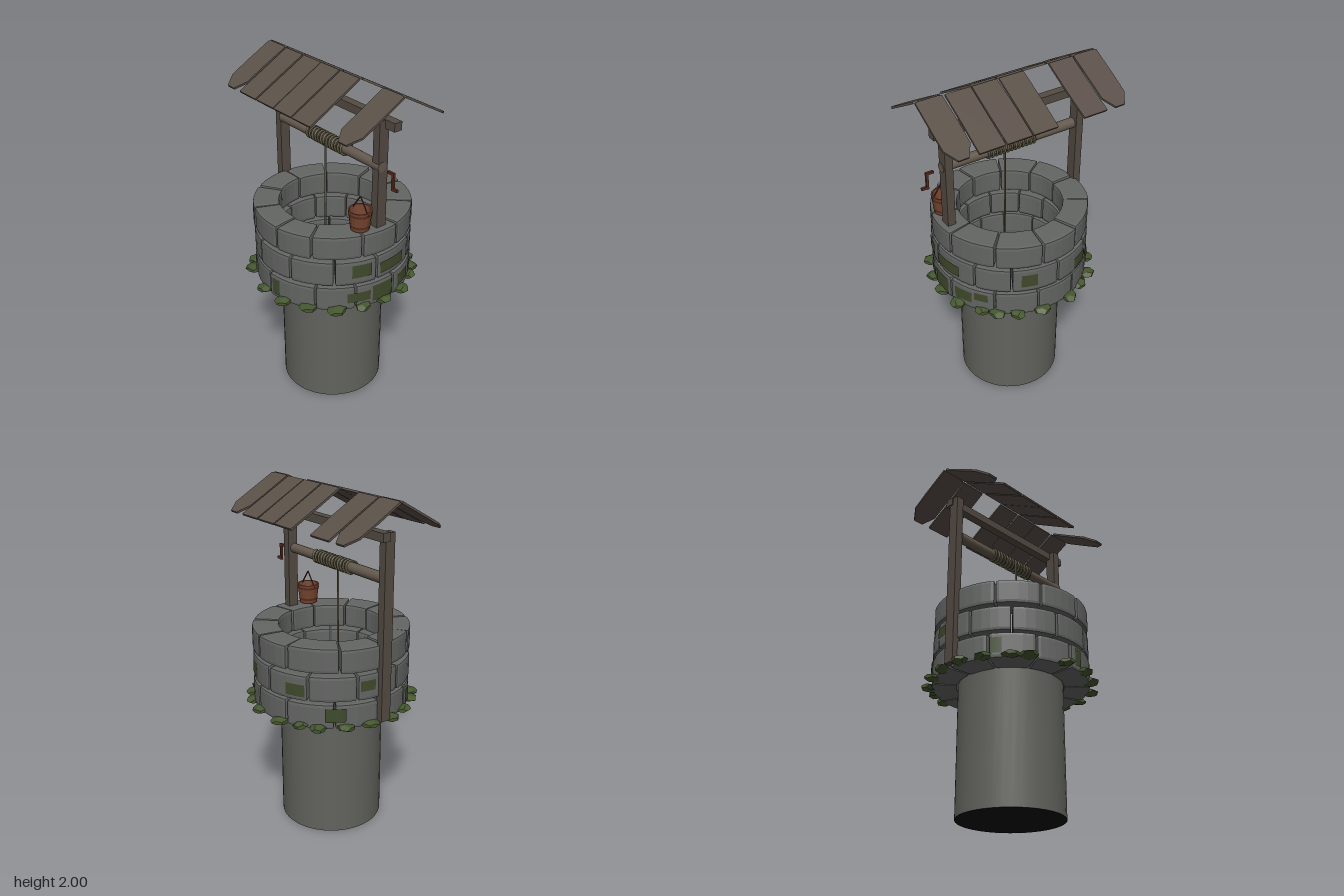
import * as THREE from 'three';

const mat = (color, extra = {}) => new THREE.MeshStandardMaterial({ color, flatShading: true, roughness: 1, ...extra });
const smooth = { flatShading: false };
const both = { side: THREE.DoubleSide };
const M = {
  stone: mat(0x646664), shaft: mat(0x62635d, { ...smooth, ...both }), dark: mat(0x080808, both),
  moss: mat(0x46572f), patch: mat(0x3f4a2b, both), wood: mat(0x544b43), roof: mat(0x5a5048),
  axle: mat(0x64594d, smooth), rope: mat(0x5d5840, smooth), rust: mat(0x5a2c20), bucket: mat(0x75452f, both),
};

let seed = 7;
const rnd = () => (seed = (seed * 16807) % 2147483647) / 2147483647;
const vary = (s) => (rnd() - 0.5) * 2 * s;

function add(parent, name, geometry, material, x = 0, y = 0, z = 0) {
  const mesh = new THREE.Mesh(geometry, material);
  mesh.name = name;
  mesh.position.set(x, y, z);
  parent.add(mesh);
  return mesh;
}

function group(parent, name) {
  const g = new THREE.Group();
  g.name = name;
  parent.add(g);
  return g;
}

// Chamfered block bent round the well; a0, a1 are angles measured from +z towards +x
function stoneGeometry(a0, a1, r0, r1, y0, y1) {
  const geo = new THREE.BoxGeometry(2, 2, 2, 6, 3, 3);
  const p = geo.attributes.position;
  const half = [(a1 - a0) * 0.19, (y1 - y0) / 2, (r1 - r0) / 2];
  const bevel = 0.017;
  const v = new THREE.Vector3(), core = new THREE.Vector3();
  for (let i = 0; i < p.count; i++) {
    const t = [p.getX(i), p.getY(i), p.getZ(i)];
    const steps = [2 / 3, 1 / 3, 1 / 3];
    t.forEach((u, k) => {
      const inner = half[k] - bevel;
      const c = THREE.MathUtils.clamp(u / steps[k], -1, 1) * inner;
      core.setComponent(k, c);
      v.setComponent(k, Math.abs(u) > 0.99 ? Math.sign(u) : 0);
    });
    const n = v.length();
    v.multiplyScalar(bevel / (n > 1 ? Math.sqrt(n) : 1)).add(core);
    const a = (a0 + a1) / 2 + v.x / 0.38;
    const r = (r0 + r1) / 2 + v.z;
    p.setXYZ(i, Math.sin(a) * r, (y0 + y1) / 2 + v.y, Math.cos(a) * r);
  }
  geo.computeVertexNormals();
  return geo;
}

function buildWall(model) {
  const wall = group(model, 'stoneWall');
  const count = 11, step = (Math.PI * 2) / count;
  [[0.755, 0.9, 0.06], [0.915, 1.062, -0.22], [1.08, 1.22, 0.1]].forEach(([y0, y1, offset], row) => {
    const cuts = Array.from({ length: count }, (_, i) => offset + i * step + vary(0.06));
    cuts.push(cuts[0] + Math.PI * 2);
    for (let i = 0; i < count; i++) {
      const geo = stoneGeometry(cuts[i] + 0.008, cuts[i + 1] - 0.008, 0.303 + vary(0.005), 0.452 + vary(0.004), y0, y1 + vary(0.003));
      add(wall, `stoneRow${row + 1}`, geo, M.stone);
    }
  });
  // Moss patches: angle, width, bottom, height
  const patches = [
    [-0.98, 0.14, 0.78, 0.09], [0.13, 0.12, 0.78, 0.1], [1.22, 0.3, 0.8, 0.06], [1.55, 0.3, 0.78, 0.1],
    [1.95, 0.25, 0.8, 0.07], [1.25, 0.25, 0.96, 0.08], [1.7, 0.4, 0.95, 0.07], [2.2, 0.18, 0.83, 0.05],
    [2.8, 0.2, 0.95, 0.08], [3.6, 0.25, 0.94, 0.07], [4.1, 0.25, 0.8, 0.08], [4.5, 0.2, 0.97, 0.06],
  ];
  for (const [a, w, y, h] of patches) {
    add(wall, 'mossPatch', new THREE.CylinderGeometry(0.458, 0.458, h, 5, 1, true, a - w / 2, w), M.patch, 0, y + h / 2, 0);
  }
}

function buildMoss(model) {
  const moss = group(model, 'mossClumps');
  const angles = [0, 17, 36, 56, 75, 96, 124, 136, 155, 172, 190, 208, 227, 240, 256, 280, 298, 312, 323, 342];
  for (const deg of angles) {
    const a = THREE.MathUtils.degToRad(deg);
    const r = 0.458 + vary(0.008);
    const clump = add(moss, 'mossClump', new THREE.DodecahedronGeometry(1, 0), M.moss, Math.cos(a) * r, 0.768, Math.sin(a) * r);
    clump.scale.set(0.053 + vary(0.006), 0.02, 0.05 + vary(0.006));
    clump.rotation.set(vary(0.1), rnd() * 6, vary(0.1));
  }
}

function buildFrame(model) {
  const frame = group(model, 'frame');
  add(frame, 'rightPost', new THREE.BoxGeometry(0.047, 1.06, 0.063), M.wood, -0.46, 1.3, 0.002);
  add(frame, 'leftPost', new THREE.BoxGeometry(0.047, 1.06, 0.063), M.wood, 0.393, 1.3, 0.002);
  add(frame, 'topBeam', new THREE.BoxGeometry(0.975, 0.048, 0.05), M.wood, -0.003, 1.81, -0.028);
}

function buildRoof(model) {
  const length = 0.365;
  const plank = (w, chamfer) => {
    const h = w / 2, c = chamfer ? 0.045 : 0.002, e = () => vary(0.004);
    const pts = [[-h + e(), 0], [-h + e(), -length * 0.5], [-h, -length + c * 1.6], [-h + c, -length],
      [h - c, -length], [h, -length + c * 1.6], [h + e(), -length * 0.5], [h + e(), 0]];
    if (chamfer) pts.push([h - 0.02, 0.004], [-h + 0.02, 0.004]);
    const shape = new THREE.Shape(pts.map(([x, y]) => new THREE.Vector2(x, y)));
    return new THREE.ExtrudeGeometry(shape, { depth: 0.012, bevelEnabled: false });
  };
  // One plank is missing from each slope
  const centres = [-0.482, -0.32, -0.16, -0.005, 0.153, 0.313, 0.475];
  for (const [side, missing] of [[1, 5], [-1, 2]]) {
    const slope = group(model, side > 0 ? 'frontRoof' : 'backRoof');
    if (side < 0) slope.rotation.y = Math.PI;
    centres.forEach((x, i) => {
      if (i === missing) return;
      const mesh = add(slope, 'roofPlank', plank(0.15, i === 0 || i === 6), M.roof, x * side, 1.988, 0.004);
      mesh.rotation.x = THREE.MathUtils.degToRad(-61);
    });
  }
}

function buildWinch(model) {
  const winch = group(model, 'winch');
  const y = 1.575, z = 0.012;
  add(winch, 'axle', new THREE.CylinderGeometry(0.028, 0.031, 0.86, 16), M.axle, -0.01, y, z).rotation.z = -Math.PI / 2;
  // Rope coils and the hanging length
  const turns = 13, coil = [];
  for (let i = 0; i <= turns * 12; i++) {
    const a = (i / 12) * Math.PI * 2;
    coil.push(new THREE.Vector3(-0.175 + (0.32 * i) / (turns * 12), y + Math.cos(a) * 0.035, z + Math.sin(a) * 0.035));
  }
  add(winch, 'ropeCoil', new THREE.TubeGeometry(new THREE.CatmullRomCurve3(coil), turns * 16, 0.007, 6), M.rope);
  add(winch, 'hangingRope', new THREE.CylinderGeometry(0.006, 0.006, 0.88, 8), M.rope, -0.003, 1.14, z + 0.035);
  // Crank handle
  add(winch, 'crankStub', new THREE.BoxGeometry(0.045, 0.014, 0.014), M.rust, 0.488, 1.568, z);
  add(winch, 'crankArm', new THREE.BoxGeometry(0.014, 0.1, 0.014), M.rust, 0.505, 1.525, z);
  add(winch, 'crankGrip', new THREE.BoxGeometry(0.042, 0.014, 0.014), M.rust, 0.52, 1.484, z);
}

function buildBucket(model) {
  const bucket = group(model, 'bucket');
  bucket.position.set(0.366, 1.225, 0.108);
  const profile = [[0, 0], [0.052, 0], [0.066, 0.115], [0.058, 0.115], [0.046, 0.012], [0, 0.012]];
  add(bucket, 'pail', new THREE.LatheGeometry(profile.map(([x, y]) => new THREE.Vector2(x, y)), 16), M.bucket);
  for (const [h, r] of [[0.025, 0.056], [0.095, 0.0645]]) {
    add(bucket, 'hoop', new THREE.CylinderGeometry(r + 0.002, r, 0.014, 16, 1, true), M.rust, 0, h, 0);
  }
  for (const s of [-1, 1]) {
    const path = new THREE.LineCurve3(new THREE.Vector3(s * 0.064, 0.1, 0), new THREE.Vector3(0, 0.192, 0));
    add(bucket, 'handle', new THREE.TubeGeometry(path, 1, 0.004, 6), M.rust);
  }
}

export function createModel() {
  const model = new THREE.Group();
  model.name = 'well';
  // Shaft with a dark floor
  add(model, 'shaft', new THREE.CylinderGeometry(0.302, 0.302, 0.765, 40, 1, true), M.shaft, 0, 0.3825, 0);
  add(model, 'shaftFloor', new THREE.CircleGeometry(0.302, 40), M.dark, 0, 0.001, 0).rotation.x = -Math.PI / 2;
  buildWall(model);
  buildMoss(model);
  buildFrame(model);
  buildWinch(model);
  buildBucket(model);
  buildRoof(model);
  return model;
}
